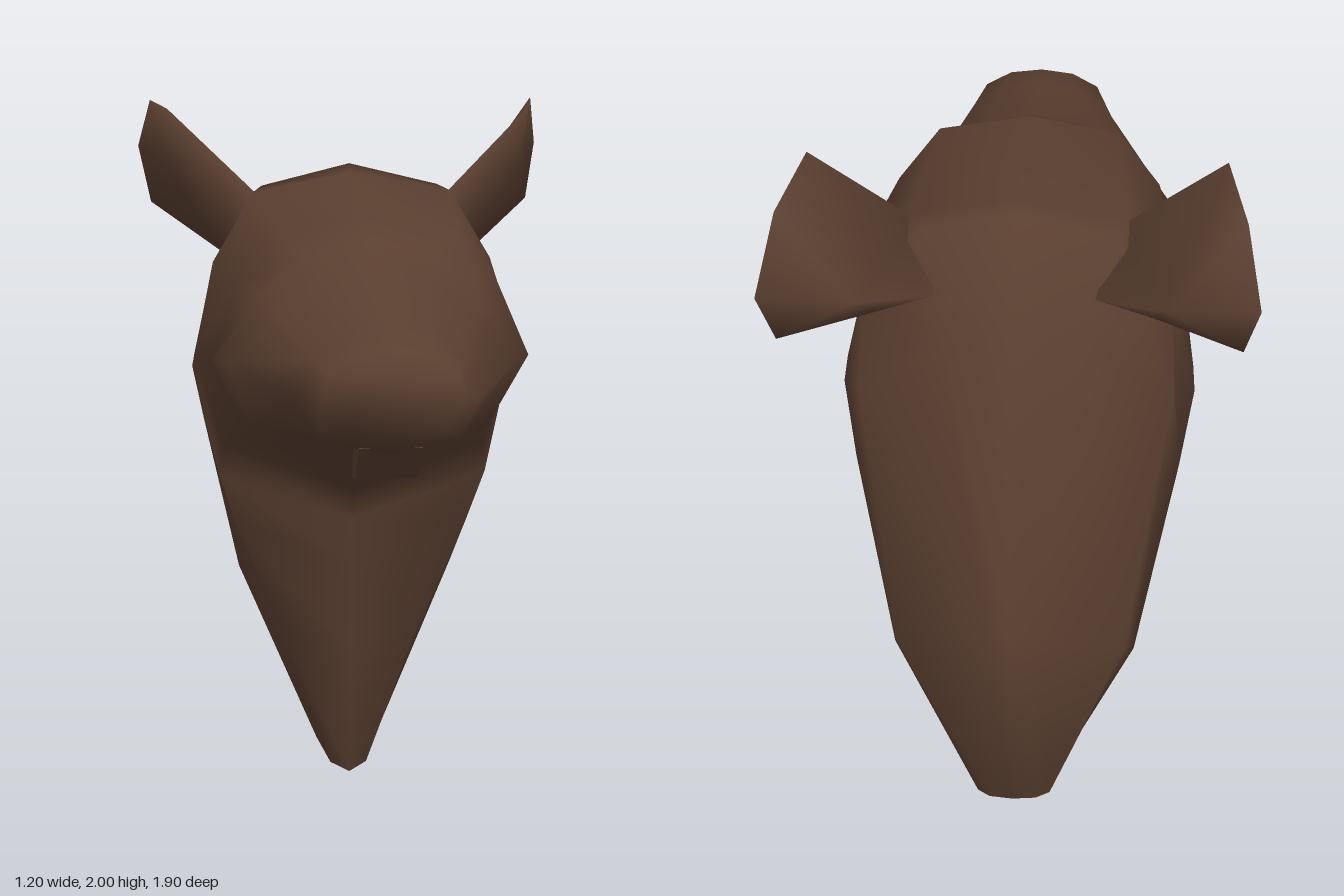
import * as THREE from 'three';

const hide = new THREE.MeshStandardMaterial({ color: 0x5a3f30 });
hide.name = 'brownHide';

// Smooth indexed geometry from points and triangle corners
function smoothGeometry(points, index) {
  const g = new THREE.BufferGeometry();
  g.setAttribute('position', new THREE.Float32BufferAttribute(points.flat(), 3));
  g.setIndex(index);
  g.computeVertexNormals();
  return g;
}

// One cross-section running from a top point to a bottom point, mirrored in x
function section({ top, bottom, w, f1, f2, tb, fb }) {
  const half = [[0, 0], [0.06, f1], [0.27, f2], [0.56, 1], [tb, fb], [1, 0]];
  const place = ([t, f], side) => [
    side * f * w,
    THREE.MathUtils.lerp(top[1], bottom[1], t),
    THREE.MathUtils.lerp(top[0], bottom[0], t),
  ];
  return [
    ...half.map((h) => place(h, 1)),
    ...half.slice(1, -1).reverse().map((h) => place(h, -1)),
  ];
}

// Head and neck: sections from the nose back over the skull and down the neck
function headAndNeck() {
  const sections = [
    { top: [0.88, 1.53], bottom: [0.925, 1.31], w: 0.18, f1: 0.5, f2: 0.9, tb: 0.88, fb: 0.7 }, // nose
    { top: [0.74, 1.565], bottom: [0.8, 1.25], w: 0.23, f1: 0.45, f2: 0.82, tb: 0.9, fb: 0.75 }, // lips
    { top: [0.38, 1.66], bottom: [0.31, 1.21], w: 0.385, f1: 0.35, f2: 0.66, tb: 0.97, fb: 0.8 }, // muzzle root
    { top: [0.27, 1.715], bottom: [0.23, 1.15], w: 0.425, f1: 0.4, f2: 0.7, tb: 0.9, fb: 0.75 }, // below the brow
    { top: [0.16, 1.775], bottom: [0.11, 1.06], w: 0.415, f1: 0.58, f2: 0.85, tb: 0.85, fb: 0.75 }, // brow
    { top: [-0.36, 1.825], bottom: [-0.3, 0.91], w: 0.455, f1: 0.62, f2: 0.87, tb: 0.85, fb: 0.83 }, // cheek
    { top: [-0.45, 1.84], bottom: [-0.32, 0.82], w: 0.46, f1: 0.55, f2: 0.86, tb: 0.87, fb: 0.84 }, // crown
    { top: [-0.63, 1.62], bottom: [-0.345, 0.68], w: 0.425, f1: 0.42, f2: 0.95, tb: 0.87, fb: 0.8 }, // nape
    { top: [-0.95, 0.87], bottom: [-0.395, 0.4], w: 0.32, f1: 0.2, f2: 0.93, tb: 0.87, fb: 0.65 }, // neck
    { top: [-0.76, 0.16], bottom: [-0.47, 0], w: 0.09, f1: 0.7, f2: 1.1, tb: 0.88, fb: 0.6 }, // neck tip
  ];
  const rings = sections.map(section);
  const n = rings[0].length;
  const points = rings.flat();
  const noseTip = points.push([0, 1.46, 0.95]) - 1;
  const neckEnd = points.push([0, 0.03, -0.58]) - 1;
  const last = (rings.length - 1) * n;
  const index = [];
  for (let j = 0; j < n; j++) {
    const k = (j + 1) % n;
    for (let i = 0; i < last; i += n) {
      index.push(i + j, i + k, i + n + j, i + k, i + n + k, i + n + j);
    }
    index.push(noseTip, k, j, neckEnd, last + j, last + k);
  }
  return smoothGeometry(points, index);
}

// Ear: a leaf-shaped rim with a full outer face and a ridge behind, rooted in the skull
function ear(side) {
  const rim = [
    [0.25, 1.745, -0.35], [0.52, 2, -0.45], [0.565, 2, -0.74], [0.6, 1.85, -0.89],
    [0.565, 1.69, -0.82], [0.35, 1.57, -0.5],
  ];
  const points = [...rim, [0.2, 1.66, -0.56], [0.51, 1.8, -0.6], [0.38, 1.74, -0.73]]
    .map(([x, y, z]) => [x * side, y, z]);
  const [root, outer, back] = [6, 7, 8];
  const index = [];
  const tri = (a, b, c) => index.push(...(side > 0 ? [a, b, c] : [a, c, b]));
  for (let j = 0; j < 6; j++) {
    tri(outer, (j + 1) % 6, j);
    if (j < 5) tri(back, j, j + 1);
  }
  tri(back, 5, root);
  tri(back, root, 0);
  return smoothGeometry(points, index);
}

// Small lower lip wedge hanging under the muzzle
function lowerLip() {
  const shape = new THREE.Shape(
    [[0.82, 1.27], [0.71, 1.17], [0.62, 1.155], [0.64, 1.27]].map((p) => new THREE.Vector2(...p)),
  );
  const g = new THREE.ExtrudeGeometry(shape, { depth: 0.16, bevelEnabled: false });
  return g.rotateY(-Math.PI / 2).translate(0.08, 0, 0);
}

export function createModel() {
  const model = new THREE.Group();
  model.name = 'animalHead';
  const add = (name, geometry) => {
    const mesh = new THREE.Mesh(geometry, hide);
    mesh.name = name;
    model.add(mesh);
  };
  add('headAndNeck', headAndNeck());
  add('leftEar', ear(1));
  add('rightEar', ear(-1));
  add('lowerLip', lowerLip());
  return model;
}
